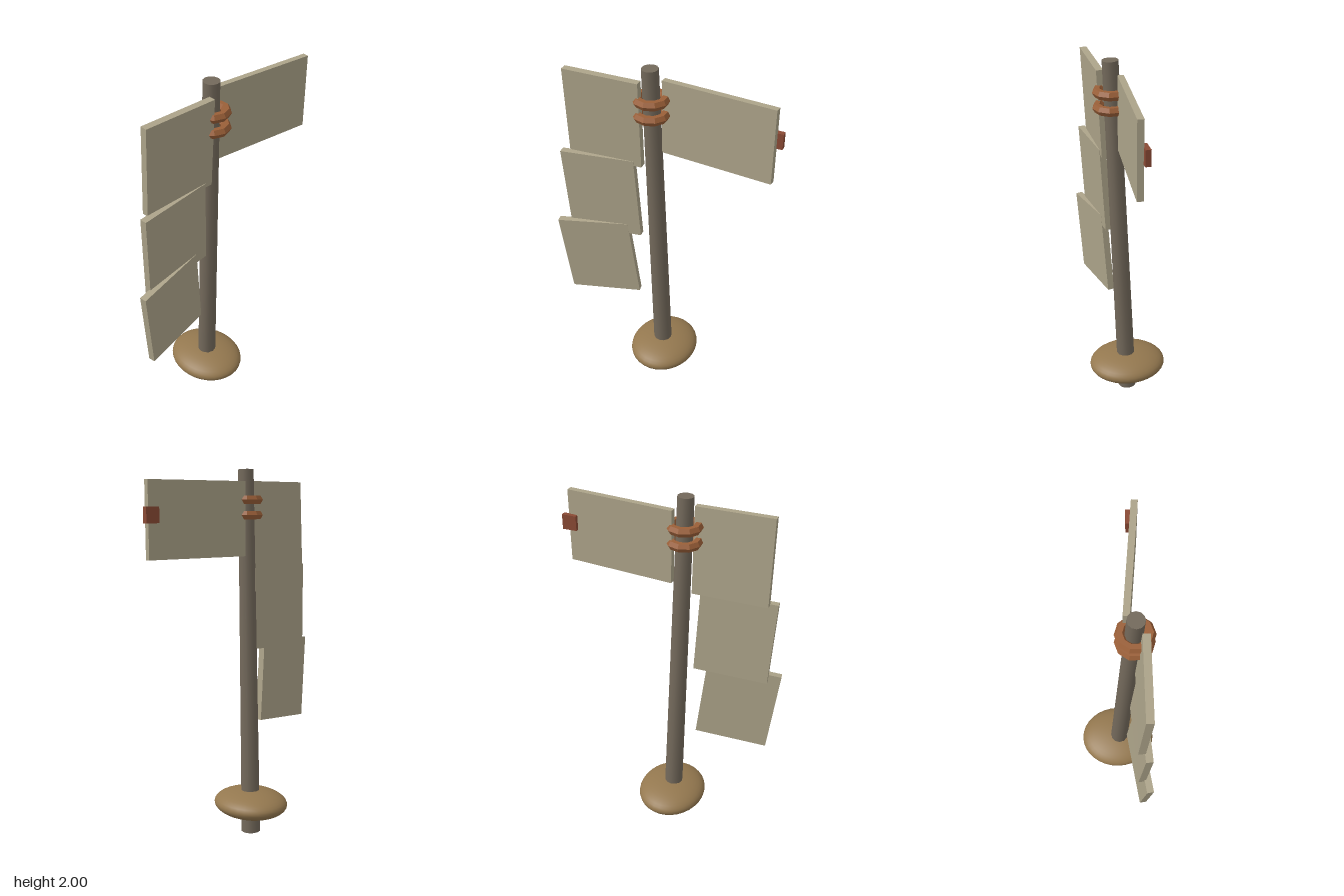
import * as THREE from 'three';

export function createModel() {
  const model = new THREE.Group();
  const mat = (name, color, flatShading = false) =>
    Object.assign(new THREE.MeshStandardMaterial({ color, flatShading }), { name });
  const wood = mat('grey wood', 0x73695b);
  const earth = mat('earth', 0x94784f);
  const copper = mat('copper', 0x9a5f38, true);
  const cloth = mat('pale cloth', 0xaca389);
  const red = mat('rust red', 0x8a4a35);

  const add = (name, geometry, material, x, y, z) => {
    const mesh = new THREE.Mesh(geometry, material);
    mesh.name = name;
    mesh.position.set(x, y, z);
    model.add(mesh);
    return mesh;
  };

  // Leaning, tapered pole
  const foot = new THREE.Vector3(0, 0.002, 0.034);
  const tip = new THREE.Vector3(0.076, 1.998, 0.064);
  const axis = tip.clone().sub(foot);
  const lean = new THREE.Quaternion().setFromUnitVectors(
    new THREE.Vector3(0, 1, 0), axis.clone().normalize());
  const mid = foot.clone().add(tip).multiplyScalar(0.5);
  add('pole', new THREE.CylinderGeometry(0.042, 0.053, axis.length(), 12), wood,
    mid.x, mid.y, mid.z).quaternion.copy(lean);

  // Flattened mound around the foot
  add('mound', new THREE.SphereGeometry(1, 32, 20), earth, 0, 0.17, 0.032)
    .scale.set(0.22, 0.075, 0.19);

  // Two faceted binding rings
  for (const y of [1.76, 1.84]) {
    const ring = new THREE.TorusGeometry(0.07, 0.025, 6, 10).rotateX(Math.PI / 2);
    add('bindingRing', ring, copper, 0.075, y, 0.06);
  }

  // Board spanned by a width vector and a height vector
  const board = (name, thickness, center, width, height) => {
    const u = new THREE.Vector3(...width), v = new THREE.Vector3(...height);
    const geometry = new THREE.BoxGeometry(thickness, v.length(), u.length());
    const mesh = add(name, geometry, cloth, ...center);
    const z = u.normalize();
    const x = v.normalize().cross(z).normalize();
    const y = z.clone().cross(x);
    mesh.quaternion.setFromRotationMatrix(new THREE.Matrix4().makeBasis(x, y, z));
  };

  // Three banner pieces hanging on the front side, each twisted further
  board('upperBanner', 0.036, [0.11, 1.705, 0.303], [0, 0, 0.405], [0.022, 0.468, 0]);
  board('middleBanner', 0.036, [0.107, 1.25, 0.336], [0.032, -0.02, 0.402], [0.023, 0.47, 0.027]);
  board('lowerBanner', 0.036, [0.109, 0.825, 0.371], [0.0635, -0.045, 0.3925], [0.025, 0.465, 0.0575]);

  // Single banner on the back side with its end tab
  board('backBanner', 0.032, [0.0635, 1.74, -0.278], [-0.055, 0, 0.583], [0, 0.39, 0]);
  add('endTab', new THREE.BoxGeometry(0.027, 0.08, 0.077), red, 0.064, 1.765, -0.561);

  return model;
}
